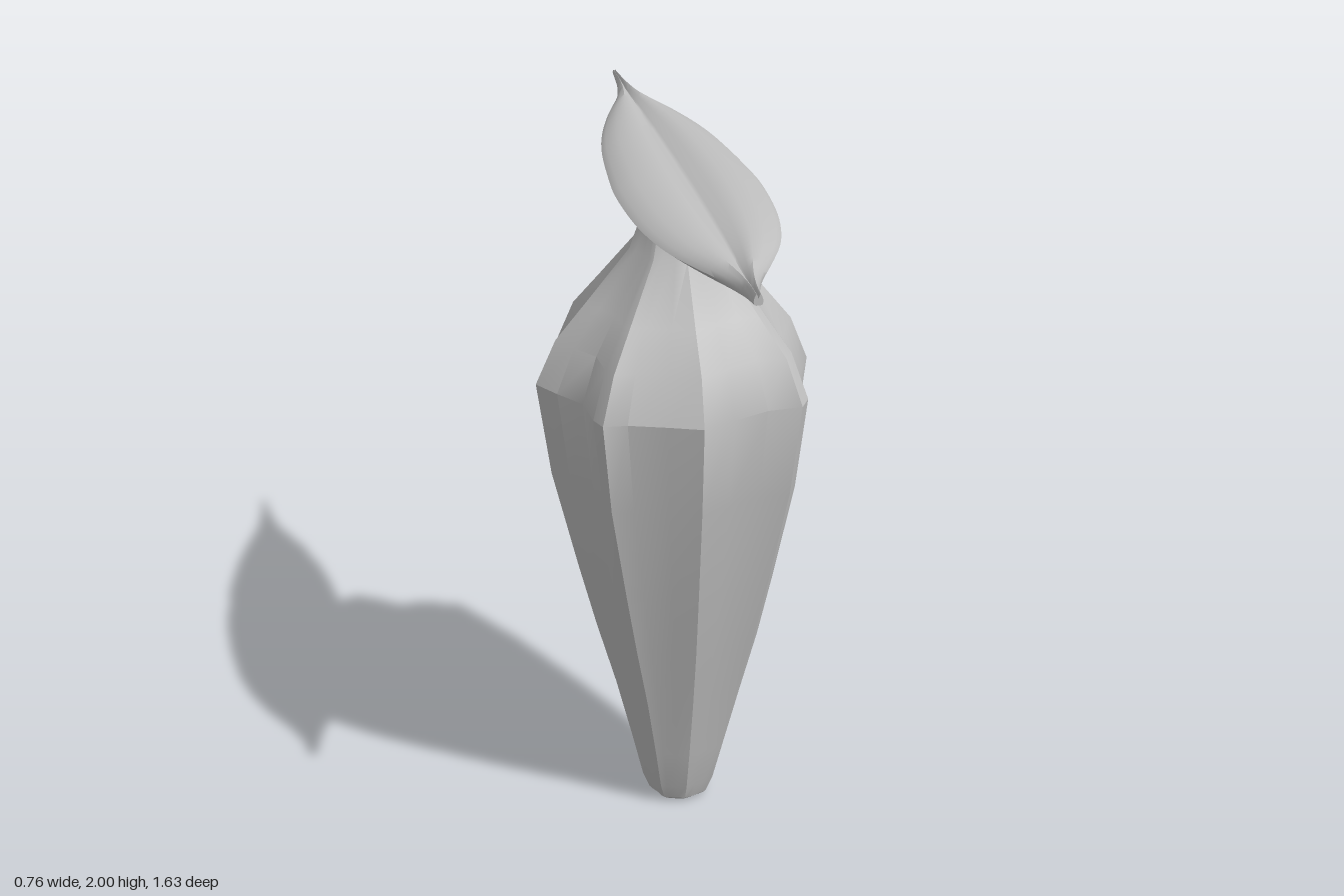
import * as THREE from 'three';
import { toCreasedNormals } from 'three/addons/utils/BufferGeometryUtils.js';

// Skin a list of closed rings and cap both ends
function loft(rings, crease) {
  const n = rings[0].length;
  const pos = rings.flat().flatMap((p) => [p.x, p.y, p.z]);
  const idx = [];
  for (let i = 0; i < rings.length - 1; i++) {
    for (let j = 0; j < n; j++) {
      const k = (j + 1) % n;
      const a = i * n + j, b = i * n + k, c = a + n, d = b + n;
      idx.push(a, c, b, b, c, d);
    }
  }
  for (const r of [0, rings.length - 1]) {
    const mid = new THREE.Vector3();
    rings[r].forEach((p) => mid.addScaledVector(p, 1 / n));
    const m = pos.length / 3;
    pos.push(mid.x, mid.y, mid.z);
    for (let j = 0; j < n; j++) {
      const a = r * n + j, b = r * n + (j + 1) % n;
      if (r === 0) idx.push(m, a, b);
      else idx.push(m, b, a);
    }
  }
  const g = new THREE.BufferGeometry();
  g.setAttribute('position', new THREE.Float32BufferAttribute(pos, 3));
  g.setIndex(idx);
  return toCreasedNormals(g, crease);
}

// Eight-lobed cross-section at the widest height: x, z from the axis
const LOBES = [
  [0.377, 0.01], [0.345, 0.08], [0.305, 0.155], [0.312, 0.26], [0.285, 0.303],
  [0.19, 0.305], [0.09, 0.34], [0, 0.375], [-0.09, 0.34], [-0.19, 0.305],
  [-0.255, 0.298], [-0.272, 0.255], [-0.28, 0.155], [-0.335, 0.08], [-0.38, 0.01],
  [-0.33, -0.05], [-0.285, -0.12], [-0.27, -0.26], [-0.235, -0.298], [-0.12, -0.285],
  [-0.06, -0.33], [0, -0.378], [0.07, -0.32], [0.15, -0.275], [0.265, -0.27],
  [0.29, -0.235], [0.28, -0.12], [0.33, -0.05],
];

// Body stations: height, radius, roundness, axis x, axis z
const BODY = [
  [0.005, 0.07, 0.5, 0.015, -0.045], [0.02, 0.088, 0.5, 0.015, -0.045],
  [0.07, 0.107, 0.45, 0.015, -0.045], [0.2, 0.137, 0.35, 0.016, -0.046],
  [0.4, 0.184, 0.2, 0.016, -0.048], [0.6, 0.235, 0.1, 0.013, -0.05],
  [0.8, 0.28, 0.05, 0.009, -0.052], [1.1, 0.343, 0, 0.003, -0.054],
  [1.375, 0.377, 0, 0, -0.055], [1.5, 0.325, 0, 0.004, -0.055],
  [1.6, 0.245, 0.1, 0.006, -0.052], [1.75, 0.128, 0.4, 0.01, -0.047],
  [1.85, 0.092, 0.7, 0.008, -0.045], [1.955, 0.071, 0.9, 0.003, -0.045],
];

function bodyGeometry() {
  const rings = BODY.map(([y, r, round, cx, cz]) => LOBES.map(([x, z]) => {
    const len = Math.hypot(x, z);
    const s = r * THREE.MathUtils.lerp(1 / 0.377, 1 / len, round);
    return new THREE.Vector3(cx + x * s, y, cz + z * s);
  }));
  return loft(rings, THREE.MathUtils.degToRad(27));
}

// Leaf half-width along z, and its section as fractions of width and thickness
const LEAF = [
  [-0.82, 0.005], [-0.76, 0.009], [-0.68, 0.02], [-0.6, 0.042], [-0.5, 0.084],
  [-0.35, 0.133], [-0.2, 0.165], [0, 0.187], [0.12, 0.193], [0.28, 0.185],
  [0.4, 0.166], [0.5, 0.137], [0.6, 0.09], [0.69, 0.043], [0.76, 0.018], [0.815, 0.012],
];
const SECTION = [
  [-1, 0.35], [-0.92, 0.6], [-0.7, 0.82], [-0.45, 1], [-0.22, 0.88], [-0.06, 0.65], [0, 0.6],
  [0.06, 0.65], [0.22, 0.88], [0.45, 1], [0.7, 0.82], [0.92, 0.6], [1, 0.35],
  [0.85, 0.08], [0.4, 0], [0, 0.03], [-0.4, 0], [-0.85, 0.08],
];

function leafGeometry() {
  const outline = new THREE.SplineCurve(LEAF.map(([z, w]) => new THREE.Vector2(z, w)));
  const rings = outline.getPoints(60).map(({ x: z, y: w }) => {
    // thickest a little ahead of the middle, thin at the back tip
    const fall = z > 0.2 ? 0.05 : 0.034;
    const top = 2 - fall * (z - 0.2) ** 2;
    const base = 1.94 + 0.012 * Math.max(0, (Math.abs(z) - 0.65) / 0.17) ** 2;
    return SECTION.map(([u, v]) =>
      new THREE.Vector3(0.007 + u * w, base + v * (top - base), z));
  });
  return loft(rings, THREE.MathUtils.degToRad(50));
}

export function createModel() {
  const grey = new THREE.MeshStandardMaterial({ color: 0xbfbfbf });
  grey.name = 'plain grey';
  const group = new THREE.Group();
  group.name = 'lobedFruit';

  const body = new THREE.Mesh(bodyGeometry(), grey);
  body.name = 'body';
  const leaf = new THREE.Mesh(leafGeometry(), grey);
  leaf.name = 'leaf';
  group.add(body, leaf);
  return group;
}
